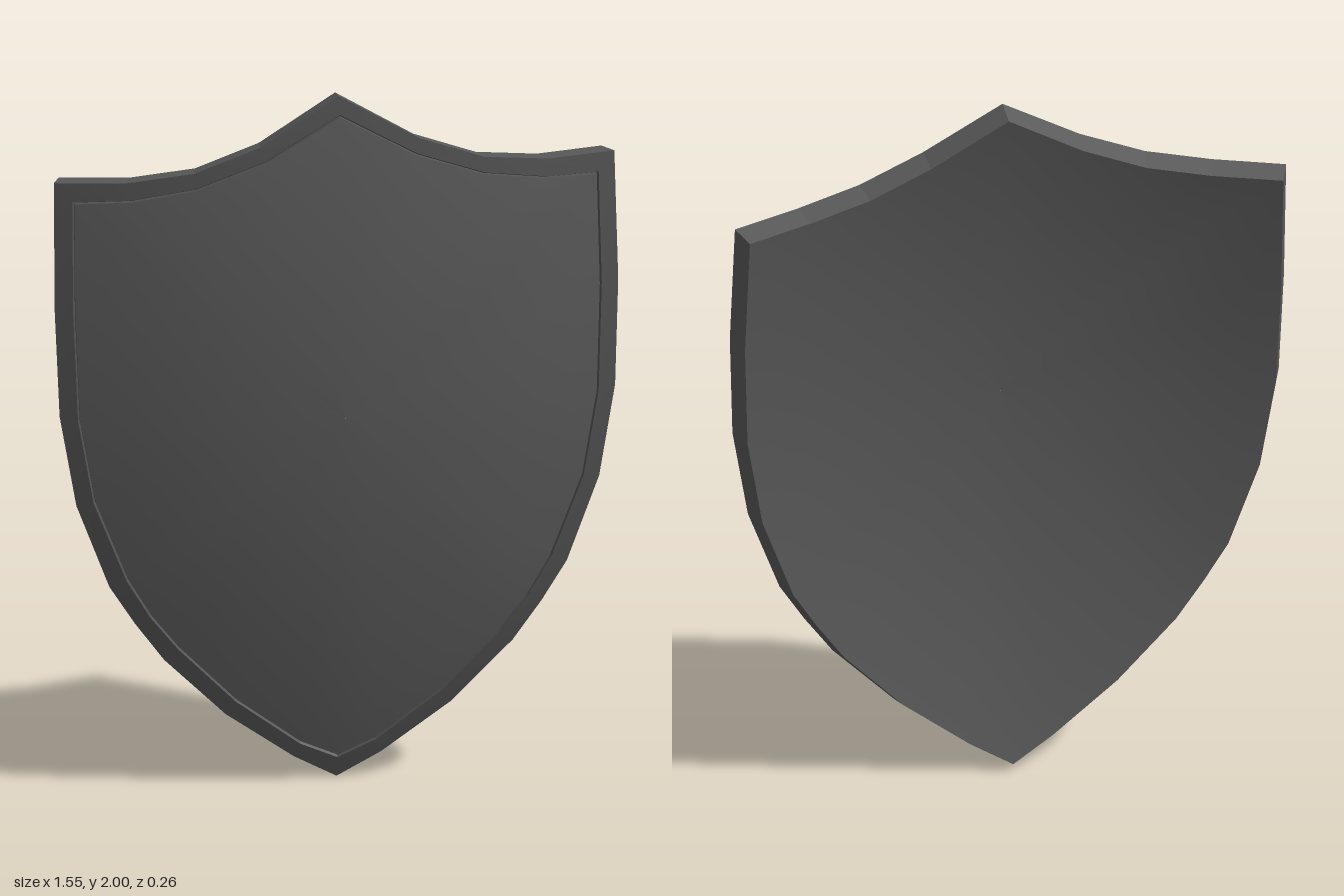
import * as THREE from 'three';

const steel = new THREE.MeshStandardMaterial({ name: 'steel grey', color: 0x5a5a5a });
const rimGrey = new THREE.MeshStandardMaterial({ name: 'rim grey', color: 0x515151 });

const CENTRE_Y = 1.1;
const THICKNESS = 0.075;

// Half outlines, from the top peak down the left side to the bottom tip
const OUTER = [[0, 2], [0.22, 1.87], [0.4, 1.8], [0.58, 1.77], [0.772, 1.76], [0.776, 1.4], [0.765, 1.1],
  [0.72, 0.84], [0.63, 0.6], [0.56, 0.49], [0.48, 0.38], [0.31, 0.21], [0.12, 0.07], [0, 0]];
const INNER = [[0, 1.95], [0.21, 1.83], [0.4, 1.757], [0.575, 1.722], [0.725, 1.71], [0.728, 1.4], [0.717, 1.09],
  [0.675, 0.85], [0.585, 0.62], [0.52, 0.51], [0.445, 0.415], [0.285, 0.25], [0.105, 0.11], [0, 0.06]];

// Mirrors a half outline into a closed counter-clockwise loop
function mirrorLoop(half) {
  const left = half.slice(1, -1).map(([x, y]) => [-x, y]);
  return [...left.reverse(), ...half].reverse();
}

function shrink(loop, s) {
  return loop.map(([x, y]) => [x * s, CENTRE_Y + (y - CENTRE_Y) * s]);
}

// Point on the domed shield, sunk by depth along the surface normal
function domePoint([x, y], depth) {
  const dy = y - CENTRE_Y;
  const normal = new THREE.Vector3(0.46 * x, 0.246 * dy, 1).normalize();
  return new THREE.Vector3(x, y, 0.13 - 0.23 * x * x - 0.123 * dy * dy).addScaledVector(normal, -depth);
}

// Skins consecutive loops with quads; flat gives each face its own normal
function skin(rings, flat) {
  const positions = [], index = [];
  const n = rings[0].loop.length;
  for (const { loop, depth } of rings) {
    for (const p of loop) positions.push(...domePoint(p, depth).toArray());
  }
  for (let r = 0; r < rings.length - 1; r++) {
    for (let i = 0; i < n; i++) {
      const j = (i + 1) % n;
      const a = r * n + i, b = r * n + j, c = a + n, d = b + n;
      index.push(a, c, d, a, d, b);
    }
  }
  let geometry = new THREE.BufferGeometry();
  geometry.setAttribute('position', new THREE.Float32BufferAttribute(positions, 3));
  geometry.setIndex(index);
  if (flat) geometry = geometry.toNonIndexed();
  geometry.computeVertexNormals();
  return geometry;
}

export function createModel() {
  const group = new THREE.Group();
  group.name = 'shield';
  const add = (name, rings, material, flat = false) => {
    const mesh = new THREE.Mesh(skin(rings, flat), material);
    mesh.name = name;
    group.add(mesh);
  };

  const outer = mirrorLoop(OUTER);
  const inner = mirrorLoop(INNER);
  const panelEdge = shrink(inner, 0.992);
  const scales = [0.001, 0.15, 0.3, 0.45, 0.6, 0.75, 0.9, 1];

  // Domed front panel
  add('frontPanel', scales.map((s) => ({ loop: shrink(panelEdge, s), depth: 0 })), steel);

  // Narrow groove between panel and rim
  add('groove', [
    { loop: panelEdge, depth: 0 },
    { loop: shrink(inner, 0.996), depth: 0.01 },
    { loop: inner, depth: 0 },
  ], rimGrey, true);

  // Border strip around the panel
  add('rim', [{ loop: inner, depth: 0 }, { loop: outer, depth: 0 }], rimGrey);

  // Outer edge wall
  add('edge', [{ loop: outer, depth: 0 }, { loop: outer, depth: THICKNESS }], steel, true);

  // Hollow back, skinned from the edge to the middle
  add('back', [...scales].reverse().map((s) => ({ loop: shrink(outer, s), depth: THICKNESS })), steel);

  return group;
}
